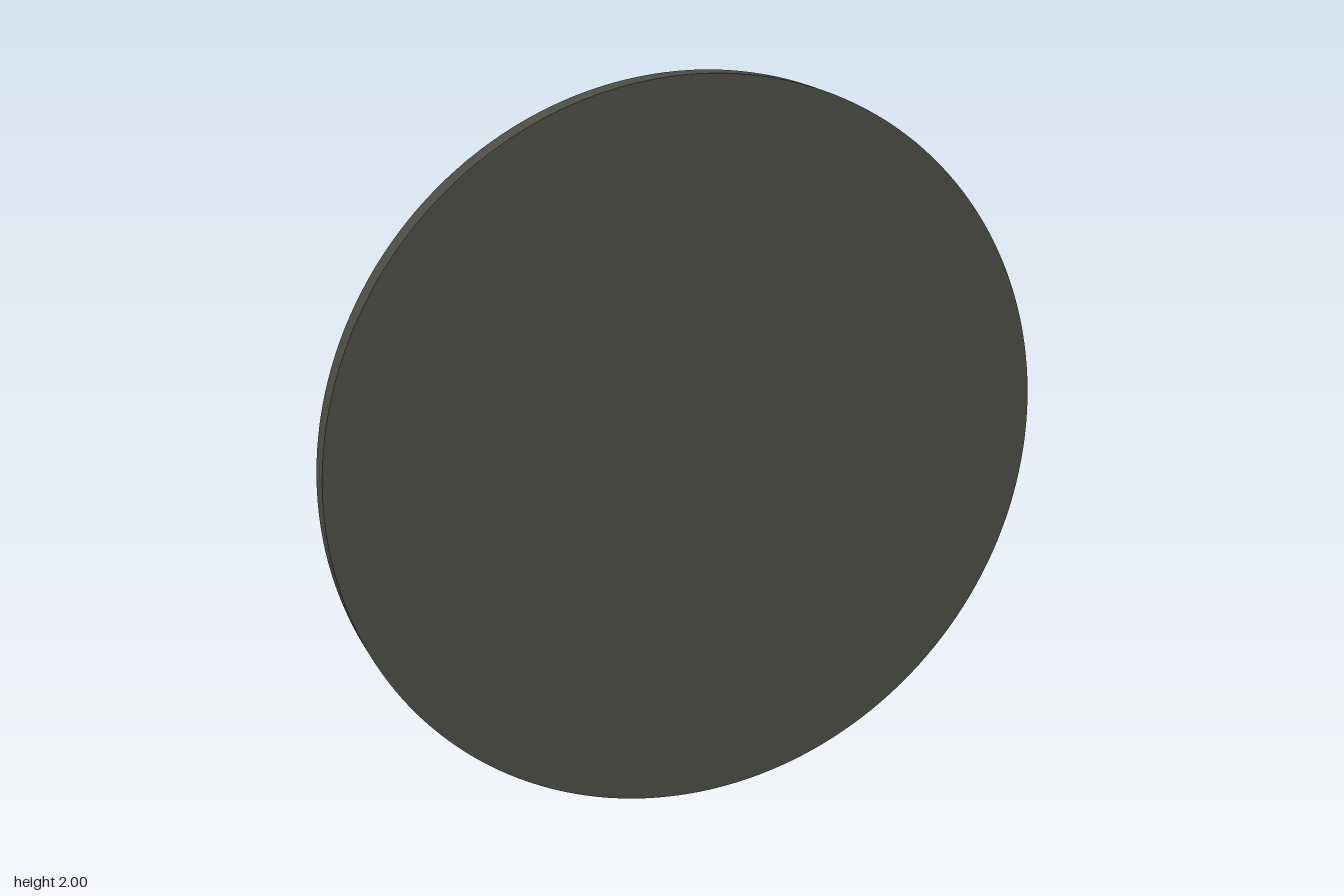
import * as THREE from 'three';

const dark = new THREE.MeshStandardMaterial({ color: 0x4c4c45 });
dark.name = 'darkOlive';
const light = new THREE.MeshStandardMaterial({ color: 0x807d80 });
light.name = 'lightGrey';

const AXIS_Y = 1.02; // height of the square stem's axis

function add(group, name, geometry, material, y, z) {
  const mesh = new THREE.Mesh(geometry, material);
  mesh.name = name;
  mesh.position.set(0, y, z);
  group.add(mesh);
}

// Square section along z, with a half-width at its back and front ends
function squareSection(group, name, material, zBack, zFront, halfBack, halfFront) {
  const r = Math.SQRT2;
  const indexed = new THREE.CylinderGeometry(halfFront * r, halfBack * r, zFront - zBack, 4, 1, false, Math.PI / 4);
  indexed.rotateX(Math.PI / 2);
  const geometry = indexed.toNonIndexed();
  geometry.computeVertexNormals();
  add(group, name, geometry, material, AXIS_Y, (zBack + zFront) / 2);
}

// Part of the disc's rim, in degrees counted from the bottom towards +x
function rimArc(group, name, material, from, to, zBack, zFront) {
  const geometry = new THREE.CylinderGeometry(1, 1, zFront - zBack, (to - from) / 2, 1, true,
    THREE.MathUtils.degToRad(from), THREE.MathUtils.degToRad(to - from));
  geometry.rotateX(Math.PI / 2);
  add(group, name, geometry, material, 1, (zBack + zFront) / 2);
}

export function createModel() {
  const model = new THREE.Group();
  model.name = 'discOnStem';

  // Large front disc with a light patch on its rim
  const disc = new THREE.Group();
  disc.name = 'disc';
  const zBack = 0.55, zFront = 0.615;
  add(disc, 'discFront', new THREE.CircleGeometry(1, 180), dark, 1, zFront);
  add(disc, 'discBack', new THREE.CircleGeometry(1, 180).rotateY(Math.PI), dark, 1, zBack);
  rimArc(disc, 'rim', dark, 154, 476, zBack, zFront);
  rimArc(disc, 'rimPatch', light, 116, 154, zBack, zFront);
  model.add(disc);

  // Square stem, from the disc to the back plate
  squareSection(model, 'neck', dark, 0.38, 0.55, 0.126, 0.126);
  squareSection(model, 'taperedBody', dark, -0.37, 0.38, 0.126, 0.212);
  squareSection(model, 'flare', light, -0.535, -0.37, 0.239, 0.126);
  squareSection(model, 'backPlate', dark, -0.615, -0.535, 0.239, 0.239);

  return model;
}
